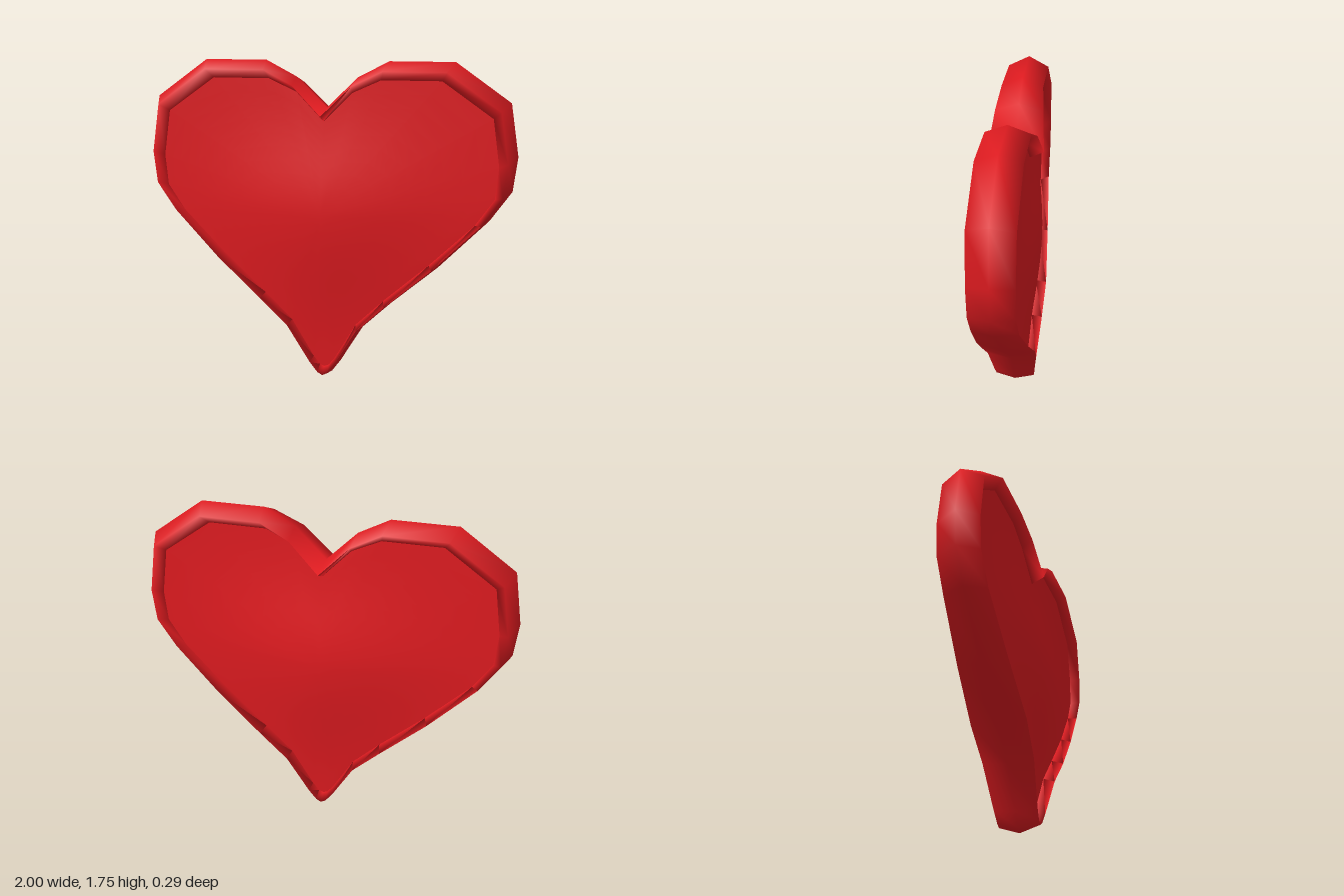
import * as THREE from 'three';

// Right half of the outline, tip to notch: outer x, y, inner x, y, crest depth
const HALF = [
  [0, 0, 0, 0.07, 0.11],
  [0.03, 0.02, 0.025, 0.08, 0.11],
  [0.08, 0.09, 0.06, 0.125, 0.115],
  [0.205, 0.3, 0.18, 0.335, 0.135],
  [0.36, 0.45, 0.33, 0.485, 0.145],
  [0.61, 0.67, 0.57, 0.7, 0.13],
  [0.87, 0.94, 0.8, 0.925, 0.112],
  [0.98, 1.1, 0.895, 1.065, 0.11],
  [1.0, 1.28, 0.91, 1.23, 0.11],
  [0.955, 1.55, 0.872, 1.475, 0.11],
  [0.67, 1.75, 0.61, 1.657, 0.11],
  [0.33, 1.75, 0.3, 1.657, 0.11],
  [0.165, 1.665, 0.15, 1.59, 0.125],
  [0, 1.505, 0, 1.44, 0.145],
];
const CENTRE_Y = 0.95;

// Depth of the panel: a soft swelling that levels out towards the rim
function panelDepth(x, y) {
  const dy = (y - CENTRE_Y) / (y > CENTRE_Y ? 0.4 : 0.55);
  const dx = x / 0.55;
  return 0.055 + 0.082 * Math.exp(-dx * dx - dy * dy);
}

function meshFrom(name, positions, indices, material) {
  const geometry = new THREE.BufferGeometry();
  geometry.setAttribute('position', new THREE.Float32BufferAttribute(positions, 3));
  geometry.setIndex(indices);
  geometry.computeVertexNormals();
  const mesh = new THREE.Mesh(geometry, material);
  mesh.name = name;
  return mesh;
}

export function createModel() {
  const group = new THREE.Group();
  group.name = 'heart';
  const red = new THREE.MeshStandardMaterial({ color: 0xe01b20 });

  // Full counter-clockwise outline by mirroring the half
  const mirrored = HALF.slice(1, -1).reverse().map(([ox, oy, ix, iy, z]) => [-ox, oy, -ix, iy, z]);
  const outline = [...HALF, ...mirrored];
  const n = outline.length;

  // Rim: five-sided section swept round the outline
  const rimPos = [];
  const rimIdx = [];
  outline.forEach(([ox, oy, ix, iy, z], i) => {
    const mx = (ox + ix) / 2;
    const my = (oy + iy) / 2;
    const iz = panelDepth(ix, iy);
    rimPos.push(ox, oy, 0, mx, my, z, ix, iy, iz, ix, iy, -iz, mx, my, -z);
    const next = (i + 1) % n;
    for (let j = 0; j < 5; j++) {
      const k = (j + 1) % 5;
      const a = i * 5 + j, b = next * 5 + j, c = next * 5 + k, d = i * 5 + k;
      rimIdx.push(a, b, c, a, c, d);
    }
  });
  group.add(meshFrom('rim', rimPos, rimIdx, red));

  // Swelling panels: rings shrinking from the rim to the centre
  const rings = 10;
  for (const side of [1, -1]) {
    const pos = [0, CENTRE_Y, side * panelDepth(0, CENTRE_Y)];
    const idx = [];
    const tri = (a, b, c) => (side > 0 ? idx.push(a, b, c) : idx.push(a, c, b));
    for (let r = 1; r <= rings; r++) {
      const t = r / rings;
      outline.forEach(([, , ix, iy], i) => {
        const x = ix * t;
        const y = CENTRE_Y + (iy - CENTRE_Y) * t;
        pos.push(x, y, side * panelDepth(x, y));
        const next = (i + 1) % n;
        const a = 1 + (r - 1) * n + i, b = 1 + (r - 1) * n + next;
        if (r === 1) tri(0, a, b);
        else {
          tri(a - n, a, b);
          tri(a - n, b, b - n);
        }
      });
    }
    group.add(meshFrom(side > 0 ? 'frontPanel' : 'backPanel', pos, idx, red));
  }
  return group;
}
